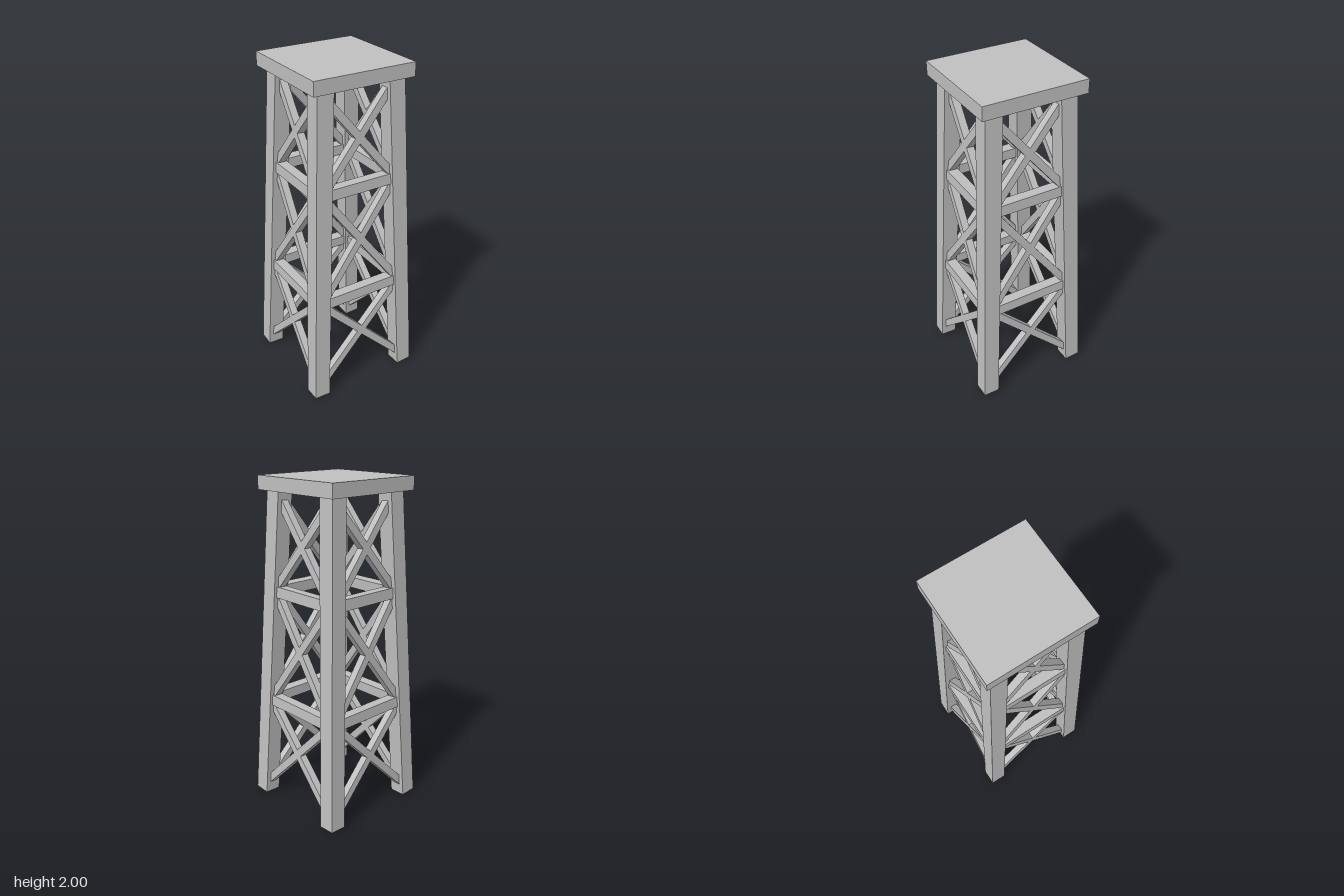
import * as THREE from 'three';

export function createModel() {
  const tower = new THREE.Group();
  tower.name = 'trestleTower';
  const grey = new THREE.MeshStandardMaterial({ color: 0xbfbfbf });
  grey.name = 'plain grey';

  const baseHalf = 0.311; // leg centre offset at the ground
  const slope = 0.047;    // inward lean per unit of height
  const legAt = (y) => baseHalf - slope * y;

  // Square timber running between two points
  function beam(name, a, b, width, depth, parent) {
    const dir = b.clone().sub(a);
    const mesh = new THREE.Mesh(new THREE.BoxGeometry(width, dir.length(), depth), grey);
    mesh.position.copy(a).add(b).multiplyScalar(0.5);
    mesh.quaternion.setFromUnitVectors(new THREE.Vector3(0, 1, 0), dir.normalize());
    mesh.name = name;
    parent.add(mesh);
  }

  // Four leaning legs
  for (const sx of [-1, 1]) {
    for (const sz of [-1, 1]) {
      const point = (y) => new THREE.Vector3(sx * legAt(y), y, sz * legAt(y));
      beam('leg', point(0.005), point(1.94), 0.1, 0.1, tower);
    }
  }

  // Four braced sides, each lying in the leaning plane of its legs
  const bays = [[0.06, 0.64], [0.645, 1.33], [1.34, 1.88]];
  for (let i = 0; i < 4; i++) {
    const side = new THREE.Group();
    side.name = 'bracedSide';
    side.rotation.y = i * Math.PI / 2;
    const panel = new THREE.Group();
    panel.name = 'sidePanel';
    panel.position.z = baseHalf;
    panel.rotation.x = -Math.atan(slope);
    side.add(panel);

    // Crossed diagonals in each bay
    for (const [low, high] of bays) {
      for (const s of [-1, 1]) {
        beam('crossBrace',
          new THREE.Vector3(-s * (legAt(low) - 0.01), low, 0),
          new THREE.Vector3(s * (legAt(high) - 0.01), high, 0),
          0.045, 0.045, panel);
      }
    }
    // Horizontal rails between bays
    for (const y of [0.65, 1.338]) {
      const x = legAt(y);
      beam('rail', new THREE.Vector3(-x, y, 0), new THREE.Vector3(x, y, 0), 0.065, 0.065, panel);
    }
    tower.add(side);
  }

  // Square platform on top
  const platform = new THREE.Mesh(new THREE.BoxGeometry(0.62, 0.08, 0.62), grey);
  platform.name = 'platform';
  platform.position.set(-0.002, 1.96, -0.003);
  tower.add(platform);

  return tower;
}
